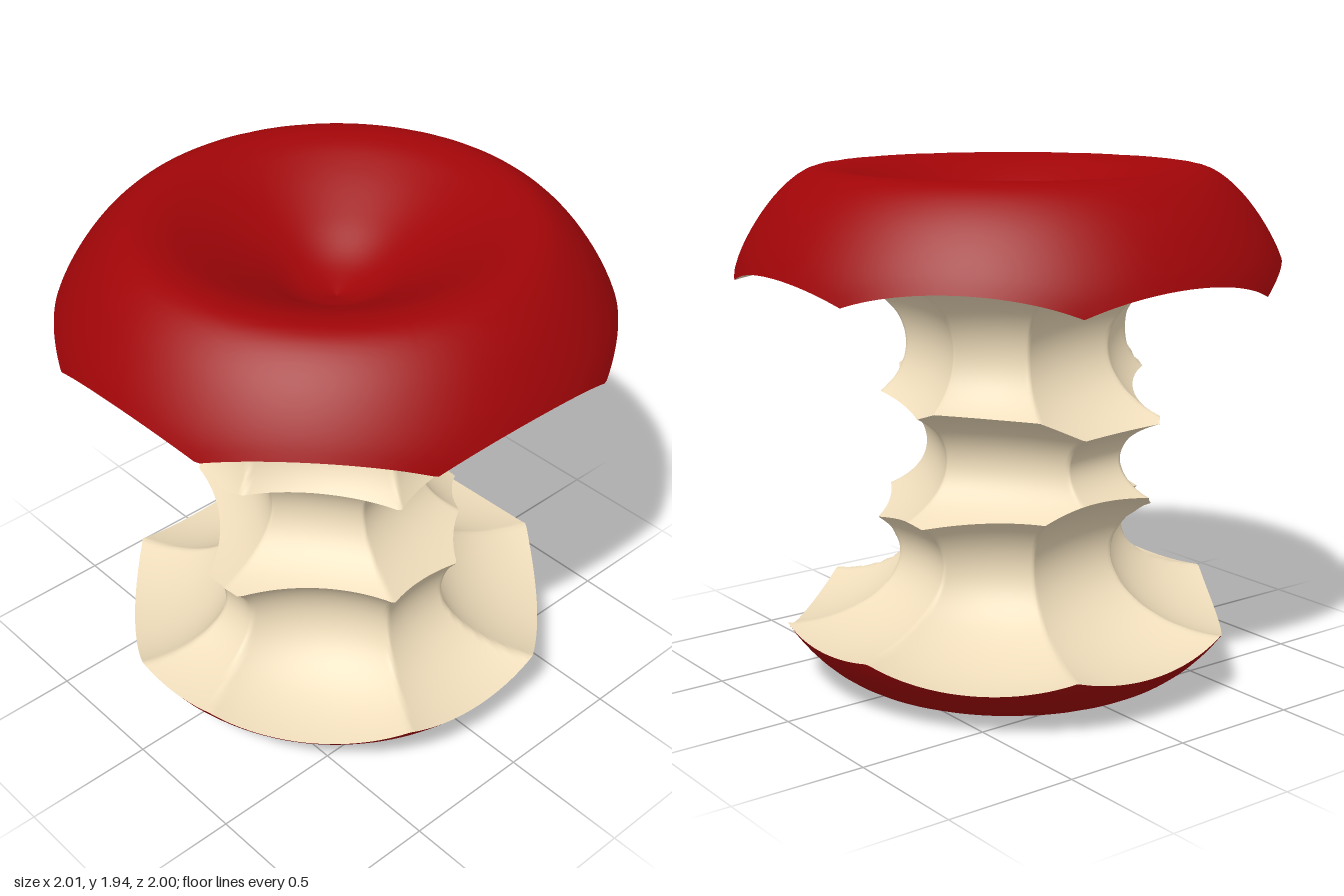
import * as THREE from 'three';

const AROUND = 288;
const SKIN = new THREE.MeshStandardMaterial({ color: 0xa00508, side: THREE.DoubleSide });
const FLESH = new THREE.MeshStandardMaterial({ color: 0xeedcba, side: THREE.DoubleSide });
const { lerp, degToRad } = THREE.MathUtils;

// Whole-apple profile (radius, height) from the top dimple to the bottom dimple
const profile = new THREE.CatmullRomCurve3([
  [0, 1.62], [0.15, 1.67], [0.3, 1.765], [0.5, 1.88], [0.62, 1.93], [0.73, 1.935], [0.86, 1.84], [1.0, 1.62],
  [1.03, 1.45], [1.0, 0.9], [0.92, 0.36], [0.81, 0.17], [0.65, 0.04], [0.45, 0], [0.25, 0.04], [0, 0.1],
].map(([r, y]) => new THREE.Vector3(r, y, 0)), false, 'centripetal');

// Ellipsoid bites in three rows, each listed as [degrees, depth left to the axis, own half height]
const bites = [];
function addRow(row, y, [width, height, reach], list) {
  for (const [degrees, depth, ownHeight = height] of list) {
    bites.push({ row, y, angle: degToRad(degrees), centre: depth + reach, size: [width, ownHeight, reach] });
  }
}
addRow(0, 1.29, [0.62, 0.335, 0.5], [
  [1.5, 0.53], [43, 0.435], [89, 0.48], [134, 0.365], [178, 0.33], [222, 0.33], [270, 0.31], [319, 0.365],
]);
addRow(1, 0.88, [0.9, 0.27, 0.45], [
  [-22, 0.31, 0.28], [38, 0.305, 0.28], [98, 0.28], [158, 0.28], [218, 0.3], [276, 0.43, 0.2],
]);
addRow(2, 0.5, [0.62, 0.325, 0.5], [
  [4, 0.54, 0.26], [42, 0.43], [88, 0.48], [134, 0.37], [181, 0.39, 0.265], [226, 0.34], [272, 0.32], [322, 0.375],
]);

// Point of the half-plane at angle theta, in the unit-sphere space of a bite
function toBite(b, theta, r, y) {
  const a = theta - b.angle;
  return new THREE.Vector3(
    (r * Math.sin(a)) / b.size[0], (y - b.y) / b.size[1], (r * Math.cos(a) - b.centre) / b.size[2]);
}

// Narrows lo..hi down to the last value before the test becomes true
function bisect(lo, hi, test) {
  for (let k = 0; k < 18; k++) {
    const mid = (lo + hi) / 2;
    if (test(mid)) hi = mid; else lo = mid;
  }
  return lo;
}

// Walks along the profile from one end to the edge of the bites
function findRim(theta, from, to) {
  const bitten = (u) => {
    const p = profile.getPointAt(u);
    return bites.some((b) => toBite(b, theta, p.x, p.y).lengthSq() < 1);
  };
  const steps = 60;
  for (let i = 1; i <= steps; i++) {
    const u = lerp(from, to, i / steps);
    if (bitten(u)) return bisect(lerp(from, to, (i - 1) / steps), u, bitten);
  }
  return to;
}

// Ray from the axis to the skin, stopped by the first bite it meets
function castRay(theta, rim, s) {
  const end = profile.getPointAt(lerp(rim.top, rim.bottom, s));
  const axisY = lerp(2.1, -0.15, s);
  let f = 1, row = 1;
  for (const b of bites) {
    const o = toBite(b, theta, 0, axisY);
    const d = toBite(b, theta, end.x, end.y).sub(o);
    const A = d.lengthSq(), B = o.dot(d), C = o.lengthSq() - 1;
    const disc = B * B - A * C;
    if (disc <= 0) continue;
    const t = (-B - Math.sqrt(disc)) / A;
    if (t > 0 && t < f) { f = t; row = b.row; }
  }
  if (s === 0 || s === 1) f = 1;
  return { row, point: [end.x * f, lerp(axisY, end.y, f)] };
}

// Closed-around surface; point(i, t, theta) gives [radius, height], with t running downwards
function ringSurface(name, material, rows, point) {
  const positions = [], index = [];
  for (let i = 0; i < AROUND; i++) {
    const theta = (i / AROUND) * Math.PI * 2;
    for (let j = 0; j <= rows; j++) {
      const [r, y] = point(i, j / rows, theta);
      positions.push(r * Math.sin(theta), y, r * Math.cos(theta));
      if (j === rows) continue;
      const a = i * (rows + 1) + j;
      const c = ((i + 1) % AROUND) * (rows + 1) + j;
      index.push(a, a + 1, c, c, a + 1, c + 1);
    }
  }
  const geometry = new THREE.BufferGeometry();
  geometry.setAttribute('position', new THREE.Float32BufferAttribute(positions, 3));
  geometry.setIndex(index);
  geometry.computeVertexNormals();
  const mesh = new THREE.Mesh(geometry, material);
  mesh.name = name;
  return mesh;
}

export function createModel() {
  const group = new THREE.Group();
  group.name = 'eatenApple';

  // Per angle: the skin edges, and the ray positions of the ridges between bite rows
  const rims = Array.from({ length: AROUND }, (_, i) => {
    const theta = (i / AROUND) * Math.PI * 2;
    const rim = { top: findRim(theta, 0.25, 0.6), bottom: findRim(theta, 0.95, 0.5) };
    const upper = bisect(0.15, 0.55, (s) => castRay(theta, rim, s).row > 0);
    const lower = bisect(0.5, 0.85, (s) => castRay(theta, rim, s).row > 1);
    return { ...rim, splits: [0, upper, lower, 1] };
  });
  const onSkin = (u) => {
    const p = profile.getPointAt(Math.min(u, 1));
    return [Math.max(p.x, 0), p.y];
  };

  // Skin left above and below the bites
  group.add(ringSurface('topSkin', SKIN, 36, (i, t) => onSkin(t * rims[i].top)));
  group.add(ringSurface('bottomSkin', SKIN, 20, (i, t) => onSkin(lerp(rims[i].bottom, 1, t))));

  // Bitten flesh, one band per row of bites so the ridges between them stay sharp
  ['upperFlesh', 'middleFlesh', 'lowerFlesh'].forEach((name, row) => {
    group.add(ringSurface(name, FLESH, row === 1 ? 40 : 64, (i, t, theta) => {
      const eased = (1 - Math.cos(Math.PI * t)) / 2;
      const { splits } = rims[i];
      return castRay(theta, rims[i], lerp(splits[row], splits[row + 1], eased)).point;
    }));
  });
  return group;
}
